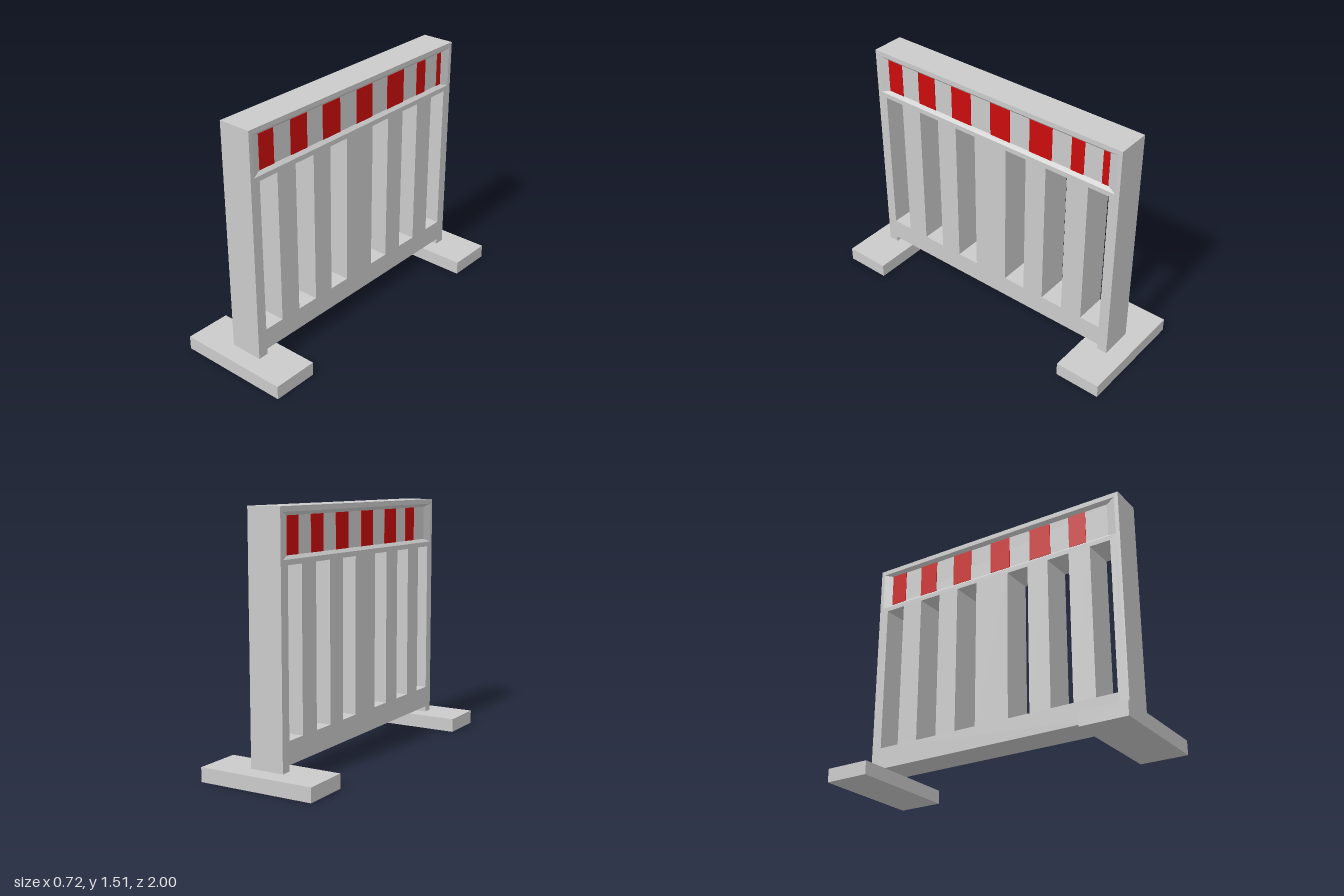
import * as THREE from 'three';

const HALF = 0.105;        // half thickness of the panel
const FLOOR = 0.085;       // distance of the sign floor from the centre plane
const OUTER = [0.86, 1.235, 1.485]; // half width, bottom, top of sign opening
const INNER = [0.80, 1.255, 1.465]; // the same for the sign floor

const rectPath = (target, u0, u1, y0, y1) => {
  target.moveTo(u0, y0);
  target.lineTo(u1, y0);
  target.lineTo(u1, y1);
  target.lineTo(u0, y1);
  target.closePath();
  return target;
};

// Sunken tray with sloping sides, facing +x
function trayGeometry() {
  const ring = (x, [w, b, t]) => [x, b, w, x, b, -w, x, t, -w, x, t, w];
  const index = [4, 5, 6, 4, 6, 7];
  for (let i = 0; i < 4; i++) {
    const j = (i + 1) % 4;
    index.push(i, j, j + 4, i, j + 4, i + 4);
  }
  const indexed = new THREE.BufferGeometry();
  indexed.setAttribute('position', new THREE.Float32BufferAttribute(
    [...ring(HALF, OUTER), ...ring(FLOOR, INNER)], 3));
  indexed.setIndex(index);
  const geo = indexed.toNonIndexed();
  geo.computeVertexNormals();
  return geo;
}

export function createModel() {
  const grey = new THREE.MeshStandardMaterial({ color: 0xcacaca });
  grey.name = 'light grey';
  const red = new THREE.MeshStandardMaterial({ color: 0xca0d0d });
  red.name = 'warning red';

  const model = new THREE.Group();
  model.name = 'barrier';
  const add = (parent, geo, mat, name, x = 0, y = 0, z = 0) => {
    const mesh = new THREE.Mesh(geo, mat);
    mesh.name = name;
    mesh.position.set(x, y, z);
    parent.add(mesh);
    return mesh;
  };

  // Panel outline with short legs at both ends
  const outline = new THREE.Shape([
    [-0.885, 0.08], [-0.82, 0.08], [-0.82, 0.12], [0.82, 0.12],
    [0.82, 0.08], [0.885, 0.08], [0.885, 1.515], [-0.885, 1.515],
  ].map(([u, y]) => new THREE.Vector2(u, y)));

  // Slots between the bars, mirrored about the middle
  for (const [a, b] of [[0.115, 0.26], [0.40, 0.545], [0.687, 0.82]]) {
    outline.holes.push(rectPath(new THREE.Path(), a, b, 0.255, 1.205));
    outline.holes.push(rectPath(new THREE.Path(), -b, -a, 0.255, 1.205));
  }
  // Opening for the sign trays
  outline.holes.push(rectPath(new THREE.Path(), -OUTER[0], OUTER[0], OUTER[1], OUTER[2]));

  const panelGeo = new THREE.ExtrudeGeometry(outline, { depth: HALF * 2, bevelEnabled: false });
  panelGeo.translate(0, 0, -HALF);
  panelGeo.rotateY(Math.PI / 2);
  add(model, panelGeo, grey, 'panel');

  // Striped sign on each face; z ranges are in each sign's own frame
  const signs = [
    ['leftSign', 0, [[0.69, 0.80], [0.43, 0.56], [0.155, 0.30], [-0.13, 0.01],
      [-0.425, -0.27], [-0.64, -0.555], [-0.80, -0.76]]],
    ['rightSign', Math.PI, [[0.69, 0.80], [0.44, 0.565], [0.17, 0.305], [-0.12, 0.02],
      [-0.41, -0.265], [-0.655, -0.54]]],
  ];
  const tray = trayGeometry();
  const stripeHeight = INNER[2] - INNER[1];
  for (const [name, turn, stripes] of signs) {
    const sign = new THREE.Group();
    sign.name = name;
    sign.rotation.y = turn;
    add(sign, tray, grey, 'signTray');
    for (const [z0, z1] of stripes) {
      add(sign, new THREE.BoxGeometry(0.004, stripeHeight, z1 - z0), red, 'stripe',
        FLOOR + 0.001, (INNER[1] + INNER[2]) / 2, (z0 + z1) / 2);
    }
    model.add(sign);
  }

  // Feet
  const footGeo = new THREE.BoxGeometry(0.72, 0.085, 0.29);
  add(model, footGeo, grey, 'frontFoot', 0, 0.0425, 0.855);
  add(model, footGeo, grey, 'backFoot', 0, 0.0425, -0.855);

  return model;
}
